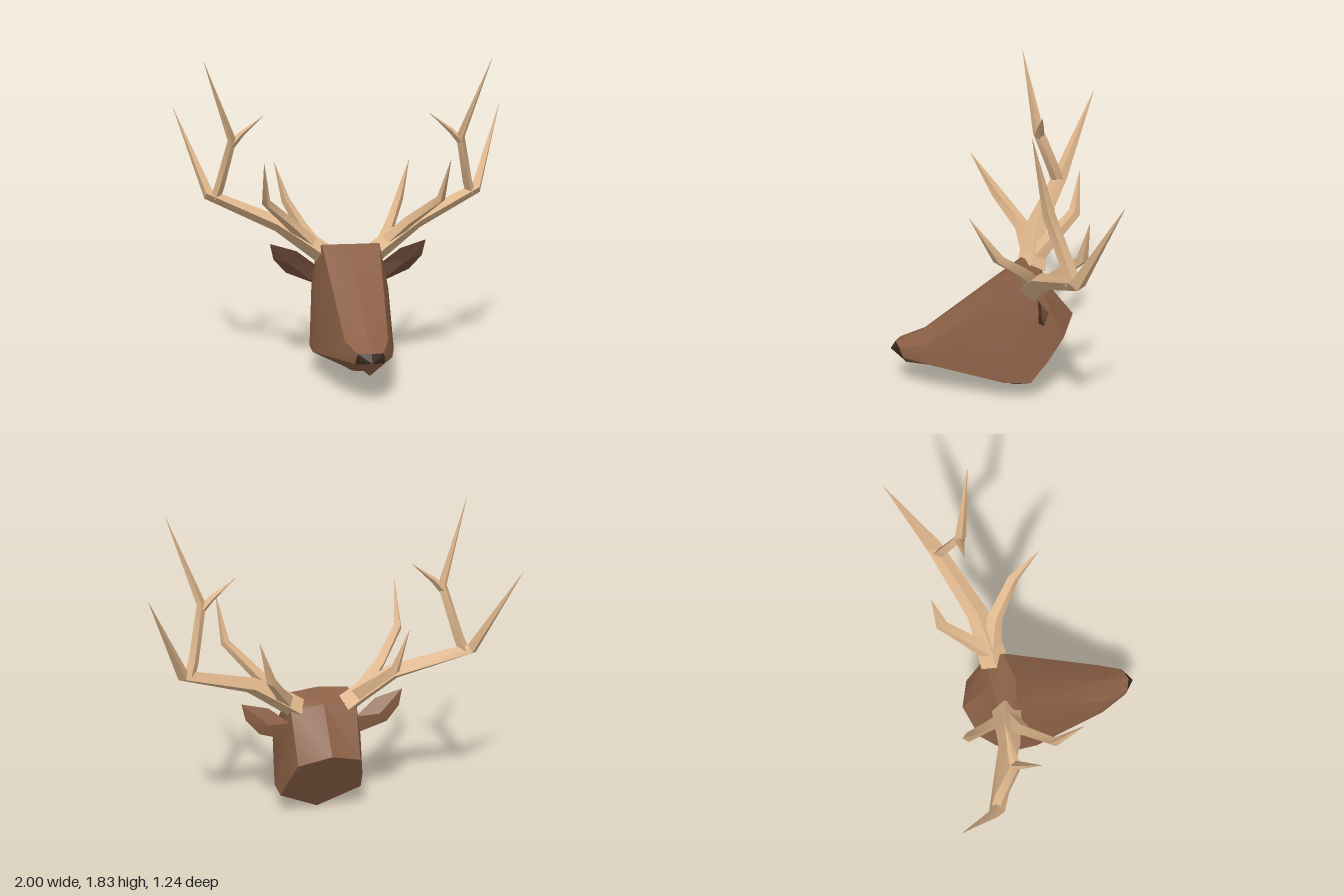
import * as THREE from 'three';
import { toCreasedNormals } from 'three/addons/utils/BufferGeometryUtils.js';

const material = (name, color) => {
  const m = new THREE.MeshStandardMaterial({ color });
  m.name = name;
  return m;
};

// Mesh from a list of triangles, each made of three [x, y, z] corners
function facetMesh(name, triangles, mat, crease = 0.5) {
  const geo = new THREE.BufferGeometry();
  geo.setAttribute('position', new THREE.Float32BufferAttribute(triangles.flat(2), 3));
  geo.computeVertexNormals();
  const mesh = new THREE.Mesh(toCreasedNormals(geo, crease), mat);
  mesh.name = name;
  return mesh;
}

// Skin between successive rings that run clockwise along the direction of travel
function loft(rings) {
  const tris = [];
  for (let i = 0; i < rings.length - 1; i++) {
    const p = rings[i], q = rings[i + 1], n = p.length;
    for (let j = 0; j < n; j++) {
      const k = (j + 1) % n;
      tris.push([p[j], p[k], q[j]], [p[k], q[k], q[j]]);
    }
  }
  return tris;
}

// Half section (top, edge, cheek, jaw, bottom) mirrored into a full ring
const mirrorRing = (half) => [
  ...half,
  ...half.slice(1, -1).reverse().map(([x, y, z]) => [-x, y, z]),
];

// Tapering four-sided branch through [x, y, z, radius] points
function branch(points, side) {
  const v = points.map(([x, y, z]) => new THREE.Vector3(x * side, y, z));
  const rings = points.map((p, i) => {
    const before = v[Math.max(i - 1, 0)], after = v[Math.min(i + 1, v.length - 1)];
    const a = v[i].clone().sub(before).normalize();
    const b = after.clone().sub(v[i]).normalize();
    const t = a.add(b).normalize();
    const n = new THREE.Vector3(0, 0, 1).addScaledVector(t, -t.z).normalize();
    const s = t.clone().cross(n);
    return [0, 1, 2, 3].map((j) => {
      const w = (j * Math.PI) / 2;
      return v[i].clone()
        .addScaledVector(n, Math.cos(w) * p[3])
        .addScaledVector(s, Math.sin(w) * p[3] * 0.75)
        .toArray();
    });
  });
  return loft(rings);
}

export function createModel() {
  const model = new THREE.Group();
  model.name = 'mountedStagHead';
  const coat = material('coat brown', 0x8a5f45);
  const innerEar = material('inner ear brown', 0x5f3f2e);
  const noseDark = material('nose dark brown', 0x3a2a20);
  const horn = material('antler tan', 0xdcb48a);

  // Head sections from muzzle to neck cut
  const rings = [
    [[0, 0.305, 0.59], [0.07, 0.3, 0.565], [0.08, 0.27, 0.555], [0.08, 0.235, 0.54], [0, 0.165, 0.53]],
    [[0, 0.38, 0.43], [0.12, 0.335, 0.42], [0.14, 0.28, 0.405], [0.15, 0.225, 0.39], [0, 0.15, 0.38]],
    [[0, 0.77, -0.12], [0.17, 0.765, -0.15], [0.215, 0.5, -0.1], [0.24, 0.15, -0.05], [0, 0.04, 0]],
    [[0, 0.72, -0.26], [0.19, 0.705, -0.26], [0.222, 0.5, -0.24], [0.24, 0.15, -0.12], [0, 0.025, -0.06]],
    [[0, 0.48, -0.45], [0.18, 0.415, -0.39], [0.22, 0.28, -0.3], [0.24, 0.15, -0.2], [0, 0.01, -0.11]],
  ].map(mirrorRing);
  const headTris = loft(rings);

  // Flat neck cut, muzzle front and nose
  const neck = rings[4], muzzle = rings[0], tip = [0, 0.258, 0.62];
  const noseTris = [];
  for (let j = 0; j < 8; j++) {
    const k = (j + 1) % 8;
    headTris.push([[0, 0.25, -0.283], neck[j], neck[k]]);
    (j === 3 || j === 4 ? headTris : noseTris).push([tip, muzzle[k], muzzle[j]]);
  }
  model.add(facetMesh('head', headTris, coat), facetMesh('nose', noseTris, noseDark, 0.2));

  // Ear outline, seen from the front
  const earOutline = [
    [0.19, 0.62, -0.25], [0.31, 0.715, -0.23], [0.465, 0.76, -0.24],
    [0.445, 0.665, -0.25], [0.37, 0.58, -0.265], [0.19, 0.51, -0.24],
  ];

  // Antler branches: [x, y, z, radius]
  const antlerParts = {
    mainBeam: [[0.14, 0.69, -0.21, 0.085], [0.23, 0.755, -0.22, 0.08], [0.41, 0.875, -0.25, 0.062],
      [0.81, 1.035, -0.41, 0.045], [1.0, 1.53, -0.62, 0.001]],
    upperTine: [[0.77, 1.02, -0.39, 0.04], [0.745, 1.09, -0.37, 0.038], [0.675, 1.37, -0.265, 0.034],
      [0.835, 1.835, -0.17, 0.001]],
    upperPoint: [[0.68, 1.34, -0.27, 0.03], [0.62, 1.405, -0.275, 0.022], [0.49, 1.51, -0.28, 0.001]],
    frontTine: [[0.22, 0.76, -0.21, 0.055], [0.35, 0.89, -0.16, 0.045], [0.505, 1.045, -0.01, 0.034],
      [0.527, 1.29, 0.145, 0.001]],
    rearTine: [[0.2, 0.74, -0.22, 0.06], [0.27, 0.85, -0.34, 0.042], [0.345, 0.975, -0.47, 0.036],
      [0.412, 1.21, -0.5, 0.001]],
  };

  for (const side of [1, -1]) {
    const label = side > 0 ? 'left' : 'right';
    const flip = ([x, y, z]) => [x * side, y, z];
    const orient = (t) => (side > 0 ? t : [t[0], t[2], t[1]]).map(flip);

    // Ear: dark front and coat-coloured back
    const ear = new THREE.Group();
    ear.name = label + 'Ear';
    const front = [], back = [];
    earOutline.forEach((p, j) => {
      const q = earOutline[(j + 1) % earOutline.length];
      front.push(orient([[0.37, 0.65, -0.235], q, p]));
      back.push(orient([[0.32, 0.64, -0.29], p, q]));
    });
    ear.add(facetMesh('earFront', front, innerEar, 0.2), facetMesh('earBack', back, coat));
    model.add(ear);

    // Antler
    const antler = new THREE.Group();
    antler.name = label + 'Antler';
    for (const [name, points] of Object.entries(antlerParts)) {
      antler.add(facetMesh(name, branch(points, side), horn, 0.6));
    }
    model.add(antler);
  }
  return model;
}
